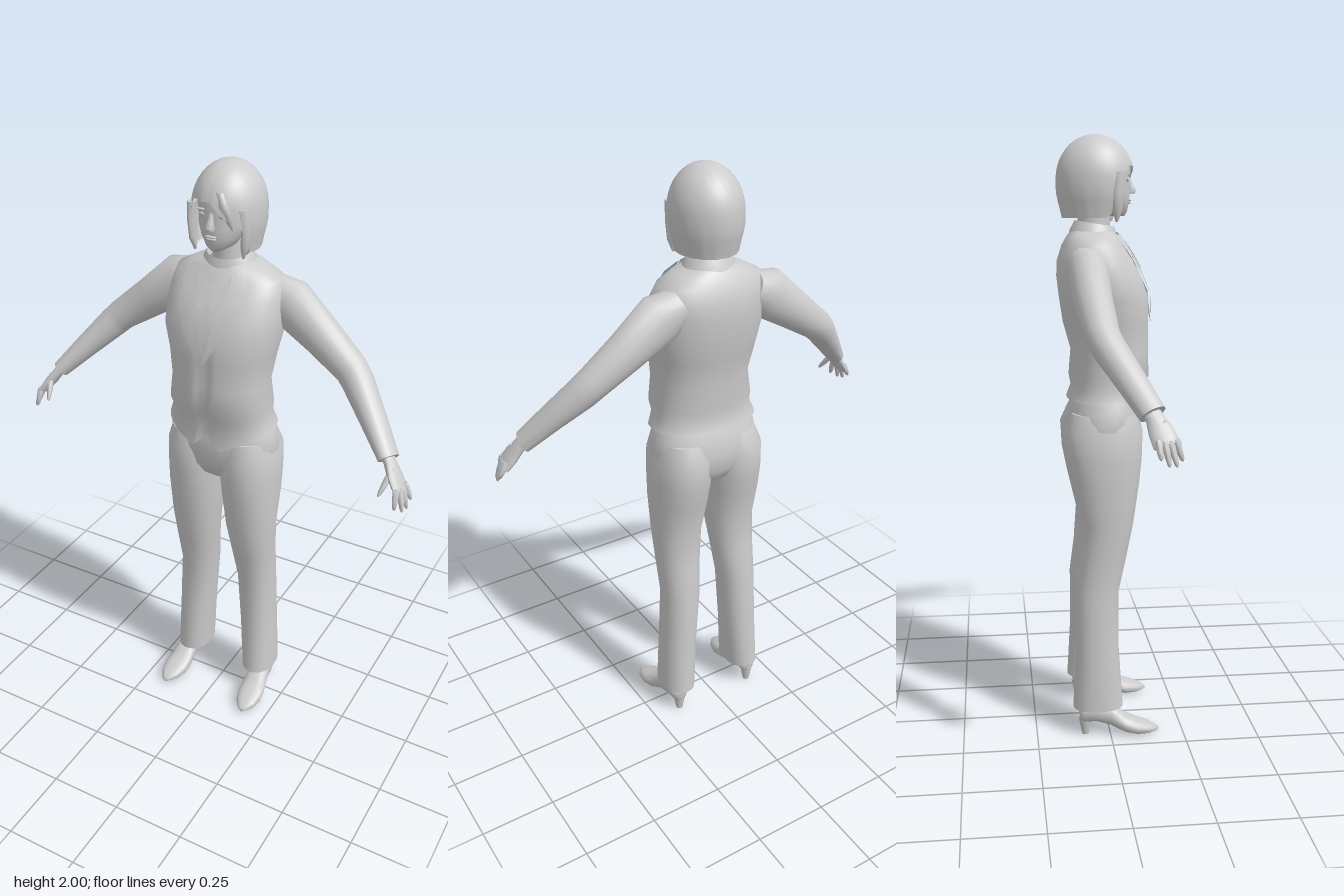
import * as THREE from 'three';
import { toCreasedNormals } from 'three/addons/utils/BufferGeometryUtils.js';

const V = (x, y, z) => new THREE.Vector3(x, y, z);
const UP = [V(1, 0, 0), V(0, 0, -1)];      // rings stacked along +y
const FORWARD = [V(1, 0, 0), V(0, 1, 0)];  // rings stacked along +z

// Indexed grid of points: rows x columns
function grid(rows, cols, point, extra = [], faces = []) {
  const pos = [], idx = [];
  for (let i = 0; i < rows; i++) for (let j = 0; j < cols; j++) pos.push(...point(i, j).toArray());
  for (let i = 0; i < rows - 1; i++) for (let j = 0; j < cols - 1; j++) {
    const a = i * cols + j, b = a + 1, c = a + cols, d = c + 1;
    idx.push(a, b, d, a, d, c);
  }
  extra.forEach(p => pos.push(...p.toArray()));
  const g = new THREE.BufferGeometry();
  g.setAttribute('position', new THREE.Float32BufferAttribute(pos, 3));
  g.setIndex(idx.concat(faces));
  return g;
}

// Skin over superellipse rings [x, y, z, a, b]; without a frame the rings follow the path
function loft(rows, { frame, seg = 20, n = 2, caps = true, bend = p => p } = {}) {
  const centres = rows.map(r => V(r[0], r[1], r[2]));
  const frames = rows.map((r, i) => {
    if (frame) return frame;
    const t = centres[Math.min(i + 1, rows.length - 1)].clone().sub(centres[Math.max(i - 1, 0)]).normalize();
    const v = V(0, 0, 1).addScaledVector(t, -t.z).normalize();
    return [v.clone().cross(t), v];
  });
  const pw = c => Math.sign(c) * Math.abs(c) ** (2 / n);
  const faces = [], last = (rows.length - 1) * (seg + 1), end = rows.length * (seg + 1);
  if (caps) for (let j = 0; j < seg; j++) faces.push(end, j + 1, j, end + 1, last + j, last + j + 1);
  return grid(rows.length, seg + 1, (i, j) => {
    const t = (j % seg) / seg * Math.PI * 2;
    return bend(centres[i].clone().addScaledVector(frames[i][0], rows[i][3] * pw(Math.cos(t)))
      .addScaledVector(frames[i][1], rows[i][4] * pw(Math.sin(t))));
  }, caps ? [centres[0], centres[rows.length - 1]] : [], faces);
}

// Horizontal ring from height, half width, front z and back z
const ring = ([y, rx, f, b, x = 0]) => [x, y, (f + b) / 2, rx, (f - b) / 2];
const stack = (list, o) => loft(list.map(ring), { frame: UP, ...o });

function mirror(geo) {
  const g = geo.clone().scale(-1, 1, 1), a = g.index.array;
  for (let i = 0; i < a.length; i += 3) [a[i], a[i + 1]] = [a[i + 1], a[i]];
  return g;
}

const JACKET = [
  [1.15, .185, .127, -.13], [1.19, .17, .122, -.115], [1.225, .173, .143, -.122], [1.31, .163, .14, -.115],
  [1.4, .175, .14, -.14], [1.48, .193, .141, -.152], [1.55, .195, .115, -.16], [1.6, .19, .088, -.158],
  [1.65, .175, .055, -.142], [1.68, .12, .04, -.125], [1.7, .07, .02, -.11]];
const JN = 2.3;

// Front surface of the jacket, used to lay the lapels on it
function frontZ(x, y) {
  let i = 0;
  while (i < JACKET.length - 2 && JACKET[i + 1][0] < y) i++;
  const p = JACKET[i], q = JACKET[i + 1], t = (y - p[0]) / (q[0] - p[0]);
  const [rx, f, b] = [1, 2, 3].map(k => p[k] + (q[k] - p[k]) * t);
  return (f + b) / 2 + (f - b) / 2 * Math.max(0, 1 - Math.abs(x / rx) ** JN) ** (1 / JN);
}
// Thin plate on the chest from rows [y, inner x, outer x]
const plate = (rows, lift) => grid(rows.length, 5, (i, j) => {
  const [y, a, b] = rows[i], x = a + (b - a) * j / 4;
  return V(x, y, frontZ(x, y) + lift);
});
const ball = (x, y, z, a, b, c) => new THREE.SphereGeometry(1, 12, 8).scale(a, b, c).translate(x, y, z);

export function createModel() {
  const model = new THREE.Group();
  const grey = new THREE.MeshStandardMaterial({ color: 0xcccccc, side: THREE.DoubleSide });
  grey.name = 'plain grey';
  const add = (name, geo, crease = 1) => {
    const m = new THREE.Mesh(toCreasedNormals(geo, crease), grey);
    m.name = name;
    model.add(m);
  };
  const pair = (name, geo, crease) => {
    add(name + 'Left', geo, crease);
    add(name + 'Right', mirror(geo), crease);
  };

  // Jacket body, with a hem dropping to two points and a closing groove in front
  add('jacket', stack(JACKET, { seg: 56, n: JN, caps: false, bend: p => {
    const ax = Math.abs(p.x);
    if (p.z > 0 && p.y < 1.16) p.y -= ax < .05 ? .02 + .9 * ax : Math.max(0, .065 * (.185 - ax) / .135);
    if (p.z > 0 && p.y < 1.42 && ax < .008) p.z -= .014;
    return p;
  } }), 1.2);
  pair('lapel', plate([[1.4, 0, .006], [1.5, .028, .07], [1.58, .048, .105], [1.61, .056, .115], [1.615, .058, .085]], .012));
  pair('jacketCollar', plate([[1.605, .058, .09], [1.63, .06, .112], [1.66, .06, .108], [1.685, .055, .085]], .014));
  pair('shirtCollar', plate([[1.575, .012, .028], [1.62, .006, .045], [1.66, .012, .052], [1.69, .03, .05]], .016));
  add('shirtPlacket', plate([[1.43, -.006, .006], [1.5, -.01, .01], [1.6, -.01, .01], [1.64, -.006, .006]], .005));
  const tilt = p => { p.y += -.16 * (p.z + .04); return p; };
  add('collarBand', stack([[1.655, .1, .045, -.125], [1.69, .088, .04, -.115], [1.72, .07, .03, -.1], [1.695, .062, .022, -.09]],
    { seg: 28, caps: false, bend: tilt }));
  add('neck', stack([[1.62, .055, .02, -.1], [1.7, .05, .015, -.09], [1.8, .05, .02, -.09]]));

  // Sleeves
  pair('sleeve', loft([[.13, 1.6, -.08, .055, .055], [.195, 1.568, -.075, .083, .066], [.31, 1.482, -.068, .066, .06],
    [.42, 1.4, -.054, .053, .054], [.45, 1.37, -.04, .051, .052], [.53, 1.285, .015, .04, .047], [.607, 1.2, .068, .029, .042]], { seg: 18 }));

  // Hands
  pair('palm', loft([[.59, 1.22, .057, .018, .028], [.615, 1.19, .073, .017, .028], [.64, 1.155, .088, .017, .038],
    [.665, 1.12, .1, .012, .04]], { seg: 12 }));
  [[[.66, 1.13, .128], [.665, 1.075, .146]], [[.667, 1.125, .112], [.685, 1.063, .127]],
    [[.67, 1.125, .095], [.692, 1.065, .105]], [[.67, 1.13, .076], [.694, 1.085, .08]],
    [[.63, 1.175, .1], [.612, 1.11, .15]]].forEach(([a, b], i) => {
    const row = (t, r) => [...a.map((v, k) => v + (b[k] - v) * t), r, r];
    pair(['indexFinger', 'middleFinger', 'ringFinger', 'littleFinger', 'thumb'][i],
      loft([row(-.15, .008), row(.1, .0105), row(.55, .009), row(.9, .006), row(1, .002)], { seg: 8 }));
  });

  // Trousers
  add('hips', stack([[.935, .05, .05, -.07], [.96, .13, .08, -.11], [1, .18, .1, -.132], [1.06, .192, .112, -.138],
    [1.12, .182, .112, -.125], [1.17, .16, .105, -.105]], { seg: 32, n: 2.3 }));
  pair('trouserLeg', stack([[.095, .059, .045, -.125, .138], [.3, .063, .032, -.114, .128], [.5, .066, .032, -.115, .116],
    [.62, .074, .058, -.1, .112], [.74, .084, .082, -.092, .107], [.88, .095, .102, -.125, .103], [.96, .098, .11, -.141, .1],
    [1.05, .097, .113, -.146, .098], [1.11, .08, .1, -.12, .095]], { seg: 22, n: 2.2 }));

  // Court shoes with heels: rows of z, top, bottom, half width
  pair('shoe', loft([[-.105, .1, .055, .02], [-.09, .11, .045, .032], [-.05, .12, .048, .036], [0, .11, .033, .037],
    [.05, .068, .008, .044], [.09, .05, .001, .046], [.13, .036, .002, .036], [.158, .022, .006, .016], [.166, .015, .009, .004]]
    .map(([z, t, b, a]) => [.155 + .06 * z, (t + b) / 2, z, a, (t - b) / 2]), { frame: FORWARD, seg: 18, n: 2.4 }));
  pair('shoeHeel', new THREE.CylinderGeometry(.024, .012, .065, 12).translate(.15, .0325, -.085));

  // Head and face
  add('head', stack([[1.742, .018, .062, .01], [1.755, .042, .071, -.05], [1.785, .063, .078, -.09], [1.82, .076, .08, -.11],
    [1.855, .081, .076, -.12], [1.89, .084, .08, -.13], [1.93, .08, .068, -.125], [1.97, .05, .03, -.09]], { seg: 28, n: 2.1 }));
  add('nose', loft([[0, 1.815, .082, .013, .016], [0, 1.823, .084, .014, .017], [0, 1.84, .079, .009, .014],
    [0, 1.865, .073, .006, .01]], { frame: UP, seg: 10 }));
  add('upperLip', ball(0, 1.794, .078, .02, .004, .007));
  add('lowerLip', ball(0, 1.786, .077, .017, .005, .007));
  pair('eye', ball(.033, 1.856, .069, .014, .006, .005));
  pair('eyebrow', ball(.034, 1.873, .073, .018, .003, .005));

  // Bobbed hair: a dome whose lower edge rises over the face, with a side fringe
  const mix = THREE.MathUtils.smoothstep;
  add('hair', grid(15, 49, (i, j) => {
    const th = (j / 48 * 2 - 1) * Math.PI, deg = Math.abs(th) * 180 / Math.PI;
    const brow = th > 0 ? 1.89 - .04 * mix(deg, 5, 28) : 1.9;
    const low = brow + (1.737 - brow) * mix(deg, 36, 74);
    const s = i / 14, y = 2 - (2 - low) * s * s * (1.6 - .6 * s);
    let k = y > 1.86 ? Math.sqrt(Math.max(0, 1 - ((y - 1.86) / .14) ** 2)) : 1 - .16 * mix(1.83 - y, 0, .11);
    if (i > 9) k += .012 * Math.sin(j * 2.1) * (i - 9) / 5;
    return V(.004 + .113 * k * Math.sin(th), y, -.032 + .128 * k * Math.cos(th));
  }), 1.2);
  // Loose locks framing the face
  pair('sideLock', loft([[.083, 1.725, .028, .004, .004], [.088, 1.76, .03, .012, .016], [.092, 1.82, .03, .013, .02],
    [.086, 1.88, .04, .013, .02]], { frame: UP, seg: 8 }));
  add('fringeLock', loft([[.066, 1.82, .065, .003, .003], [.058, 1.85, .074, .012, .007], [.045, 1.89, .082, .016, .009],
    [.025, 1.93, .07, .014, .01]], { frame: UP, seg: 8 }));
  return model;
}
